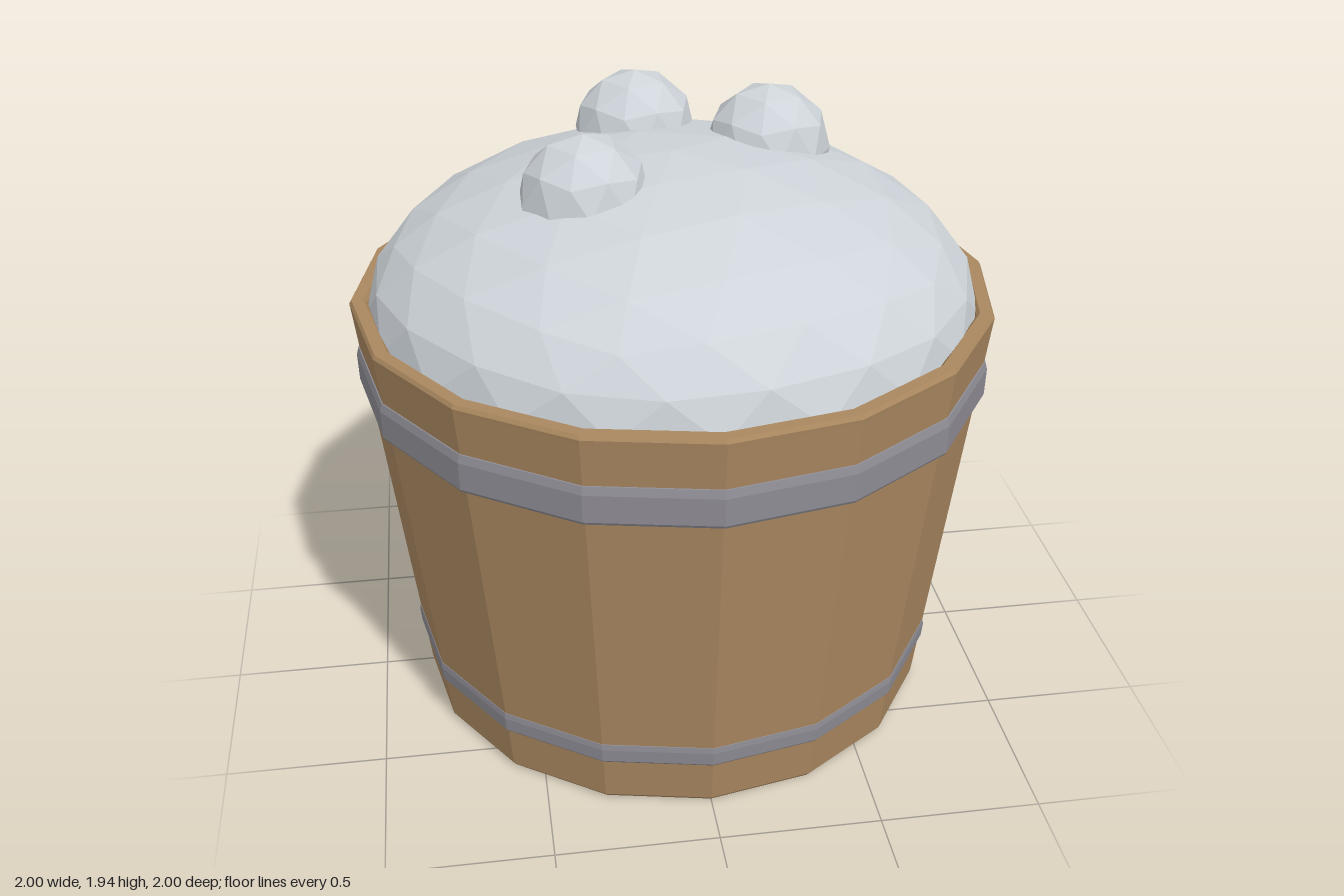
import * as THREE from 'three';

const material = (name, color, flatShading = true) => {
  const m = new THREE.MeshStandardMaterial({ color, flatShading });
  m.name = name;
  return m;
};

export function createModel() {
  const group = new THREE.Group();
  group.name = 'filledTub';
  const wood = material('wood', 0xaa8860);
  const metal = material('hoopMetal', 0x8e8c94);
  const fill = material('paleFill', 0xcdd3d8);

  const add = (name, geometry, mat) => {
    const mesh = new THREE.Mesh(geometry, mat);
    mesh.name = name;
    group.add(mesh);
    return mesh;
  };
  // Sixteen-sided turned shape from [radius, height] pairs, bottom to top
  const turned = (points) =>
    new THREE.LatheGeometry(points.map(([r, y]) => new THREE.Vector2(r, y)), 16);
  // Faceted ball with one corner pointing straight up
  const ball = (radius, detail) =>
    new THREE.IcosahedronGeometry(radius, detail)
      .rotateX(-Math.atan((1 + Math.sqrt(5)) / 2))
      .rotateY(-Math.PI / 2);

  // Tapered tub with bevelled foot and rim
  add('tub', turned([
    [0, 0], [0.83, 0], [0.842, 0.015], [0.998, 1.365], [1, 1.38],
    [0.993, 1.392], [0.955, 1.392], [0.945, 1.38], [0.93, 1.25],
  ]), wood);

  // Metal hoops
  add('upperHoop', turned([
    [0.955, 1.108], [0.985, 1.108], [0.991, 1.118], [0.993, 1.205], [0.986, 1.23], [0.97, 1.233],
  ]), metal);
  add('lowerHoop', turned([
    [0.845, 0.163], [0.862, 0.163], [0.867, 0.17], [0.871, 0.215], [0.869, 0.235], [0.855, 0.24],
  ]), metal);

  // Heaped filling
  const mound = add('mound', ball(1, 3), fill);
  mound.scale.set(0.95, 0.47, 0.95);
  mound.position.y = 1.35;

  // Round lumps resting on the mound
  [[-0.06, -0.43], [0.34, -0.23], [-0.28, 0.14]].forEach(([x, z], i) => {
    add(`lump${i + 1}`, ball(0.198, 1), fill).position.set(x, 1.74, z);
  });

  return group;
}
